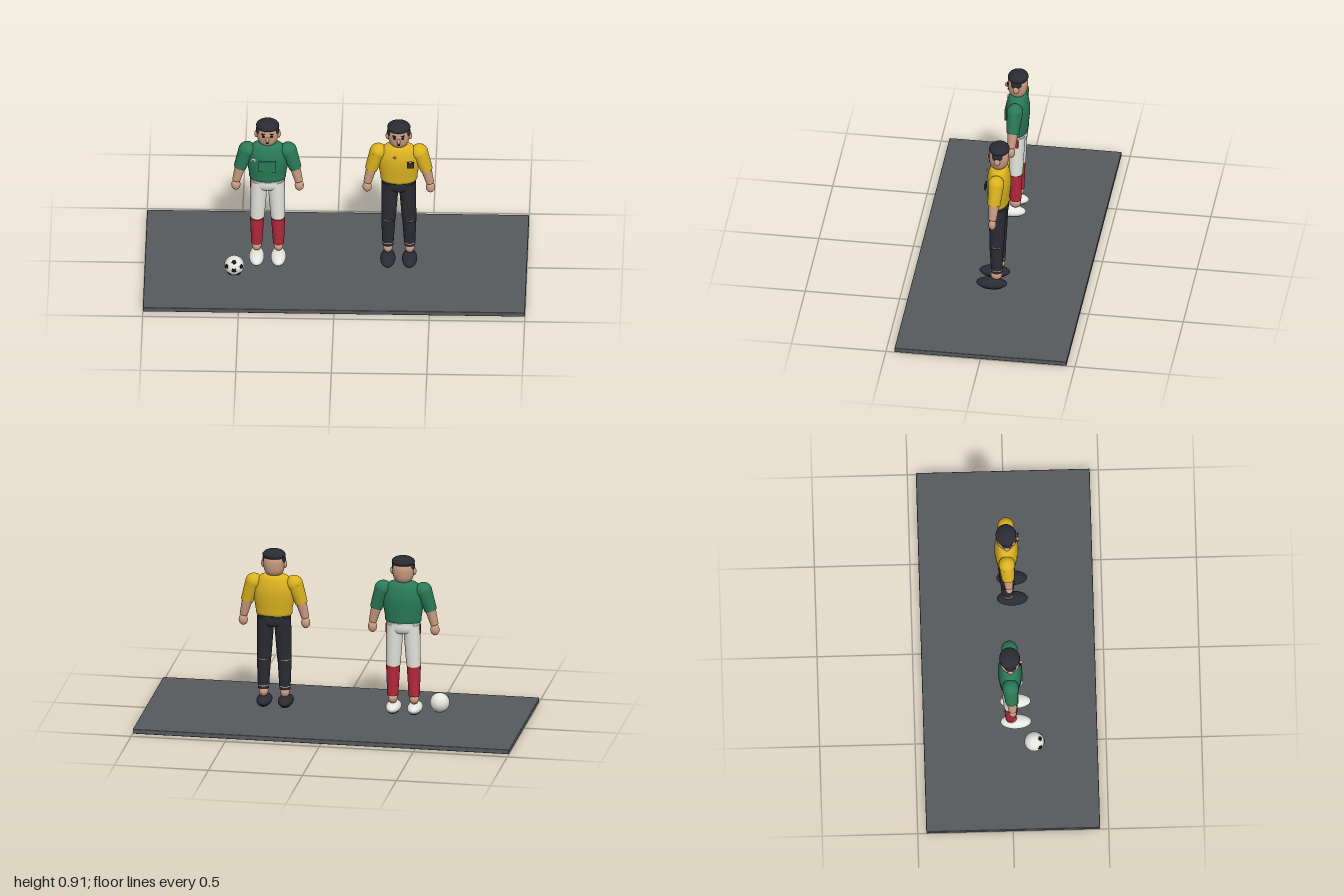
import * as THREE from 'three';
import { RoundedBoxGeometry } from 'three/addons/geometries/RoundedBoxGeometry.js';

function mat(name, color, opts = {}) {
  const m = new THREE.MeshStandardMaterial({ color, ...opts });
  m.name = name;
  return m;
}

export function createModel() {
  const M = {
    ground: mat('slate grey', 0x565a5e),
    green: mat('shirt green', 0x2a7a58),
    yellow: mat('shirt yellow', 0xdcb320),
    dark: mat('charcoal', 0x2b2b34),
    white: mat('off white', 0xe6e6e0),
    red: mat('sock red', 0xb5293c),
    skin: mat('skin', 0xcb9c82),
    black: mat('black', 0x17171a),
  };
  const model = new THREE.Group();
  model.name = 'footballScene';

  function add(parent, name, geo, material, x = 0, y = 0, z = 0) {
    const mesh = new THREE.Mesh(geo, material);
    mesh.name = name;
    mesh.position.set(x, y, z);
    parent.add(mesh);
    return mesh;
  }
  const ball = (parent, name, material, p, r) => {
    const mesh = add(parent, name, new THREE.SphereGeometry(1, 28, 18), material, ...p);
    mesh.scale.set(...r);
    return mesh;
  };
  const box = (parent, name, material, p, s) =>
    add(parent, name, new THREE.BoxGeometry(...s), material, ...p);
  // Tapered tube from a to b
  function limb(parent, name, material, a, b, ra, rb) {
    const A = new THREE.Vector3(...a), B = new THREE.Vector3(...b);
    const mesh = add(parent, name, new THREE.CylinderGeometry(rb, ra, A.distanceTo(B), 28), material);
    mesh.position.copy(A).lerp(B, 0.5);
    mesh.quaternion.setFromUnitVectors(new THREE.Vector3(0, 1, 0), B.sub(A).normalize());
    return mesh;
  }
  function lathe(parent, name, material, pts, depth) {
    const curve = new THREE.SplineCurve(pts.map(p => new THREE.Vector2(...p)));
    const profile = curve.getPoints(24);
    profile.forEach(p => { p.x = Math.max(p.x, 0); });
    const mesh = add(parent, name, new THREE.LatheGeometry(profile, 36), material);
    mesh.scale.z = depth;
    return mesh;
  }

  function person(name, x, c) {
    const g = new THREE.Group();
    g.name = name;
    g.position.x = x;
    model.add(g);

    // Torso and hips
    lathe(g, 'torso', c.shirt, [[0, 0.548], [0.086, 0.55], [0.098, 0.59], [0.107, 0.65],
      [0.106, 0.7], [0.09, 0.745], [0.062, 0.772], [0, 0.776]], 0.58);
    lathe(g, 'hips', c.shorts, [[0, 0.488], [0.06, 0.492], [0.085, 0.515], [0.088, 0.545],
      [0.084, 0.556], [0, 0.558]], 0.6);

    // Head, hair and face
    lathe(g, 'head', M.skin, [[0, 0.765], [0.03, 0.77], [0.049, 0.79], [0.057, 0.825],
      [0.056, 0.86], [0.04, 0.885], [0, 0.892]], 0.92);
    ball(g, 'hair', M.dark, [0, 0.882, -0.002], [0.061, 0.03, 0.054]);
    ball(g, 'nose', M.skin, [0, 0.825, 0.056], [0.009, 0.014, 0.012]);
    box(g, 'mouth', M.black, [0, 0.801, 0.05], [0.014, 0.004, 0.006]);
    for (const s of [-1, 1]) {
      ball(g, 'eye', M.black, [s * 0.021, 0.842, 0.048], [0.008, 0.009, 0.006]);
      box(g, 'eyebrow', M.dark, [s * 0.021, 0.856, 0.048], [0.02, 0.005, 0.006]);
      ball(g, 'sideburn', M.dark, [s * 0.048, 0.857, 0.002], [0.013, 0.028, 0.028]);
      ball(g, 'ear', M.skin, [s * 0.058, 0.83, 0.002], [0.011, 0.021, 0.016]);

      // Arm
      ball(g, 'shoulder', c.shirt, [s * 0.107, 0.727, 0], [0.046, 0.045, 0.043]);
      limb(g, 'sleeve', c.shirt, [s * 0.112, 0.722, 0], [s * 0.145, 0.62, 0.005], 0.042, 0.033);
      limb(g, 'forearm', M.skin, [s * 0.143, 0.625, 0.005], [s * 0.164, 0.54, 0.01], 0.028, 0.021);
      ball(g, 'hand', M.skin, [s * 0.166, 0.512, 0.011], [0.024, 0.031, 0.02]);

      // Leg and shoe
      limb(g, 'thigh', c.shorts, [s * 0.044, 0.54, 0], [s * 0.054, 0.312, 0.004], 0.046, 0.038);
      ball(g, 'knee', M.skin, [s * 0.055, 0.309, 0.004], [0.034, 0.02, 0.034]);
      limb(g, 'shin', c.sock, [s * 0.055, 0.306, 0.005], [s * 0.057, 0.145, 0.003], 0.037, 0.029);
      ball(g, 'ankle', M.skin, [s * 0.057, 0.127, 0.005], [0.025, 0.029, 0.03]);
      ball(g, 'shoe', c.shoe, [s * 0.057, 0.072, 0.03], [0.04, 0.029, 0.081]);
      ball(g, 'sole', M.dark, [s * 0.057, 0.05, 0.03], [0.028, 0.008, 0.06]);
    }
    return g;
  }

  // Pitch slab
  add(model, 'ground', new RoundedBoxGeometry(2, 0.025, 0.91, 2, 0.004), M.ground, 0, 0.0125, 0);

  // Player with chest panel, badge and hip stripes
  const player = person('player', -0.358,
    { shirt: M.green, shorts: M.white, sock: M.red, shoe: M.white });
  box(player, 'chestPanel', M.green, [0, 0.66, 0.06], [0.09, 0.066, 0.009]);
  const badge = add(player, 'badge', new THREE.CylinderGeometry(0.013, 0.013, 0.008, 20), M.white, -0.073, 0.699, 0.06);
  badge.rotation.x = Math.PI / 2;
  box(player, 'badgeCentre', M.green, [-0.073, 0.699, 0.064], [0.012, 0.012, 0.004]);
  for (const s of [-1, 1])
    add(player, 'hipStripe', new RoundedBoxGeometry(0.012, 0.055, 0.03, 2, 0.005), M.red, s * 0.086, 0.515, 0);

  // Referee with pocket and small badge
  const referee = person('referee', 0.329,
    { shirt: M.yellow, shorts: M.dark, sock: M.dark, shoe: M.dark });
  box(referee, 'pocket', M.dark, [0.062, 0.683, 0.062], [0.036, 0.034, 0.009]);
  box(referee, 'pocketCard', M.white, [0.062, 0.703, 0.064], [0.012, 0.006, 0.004]);
  ball(referee, 'badge', M.skin, [-0.02, 0.73, 0.064], [0.008, 0.006, 0.004]);
  for (const s of [-1, 1]) {
    const band = add(referee, 'sockBand', new THREE.CylinderGeometry(0.0305, 0.0305, 0.003, 28), M.white, s * 0.057, 0.162, 0.003);
    band.scale.z = 1;
  }

  // Football with dark patches on its front
  const football = new THREE.Group();
  football.name = 'football';
  football.position.set(-0.53, 0.076, 0.123);
  model.add(football);
  ball(football, 'ballSkin', M.white, [0, 0, 0], [0.052, 0.052, 0.052]);
  function patch(dir) {
    const p = add(football, 'ballPatch', new THREE.CylinderGeometry(0.013, 0.014, 0.005, 5), M.black);
    p.position.copy(dir).multiplyScalar(0.0505);
    p.quaternion.setFromUnitVectors(new THREE.Vector3(0, 1, 0), dir);
  }
  patch(new THREE.Vector3(0, 0, 1));
  for (let i = 0; i < 5; i++) {
    const a = Math.PI / 2 + i * Math.PI * 0.4;
    patch(new THREE.Vector3(Math.cos(a) * 0.8, Math.sin(a) * 0.8, 0.6).normalize());
  }
  return model;
}
